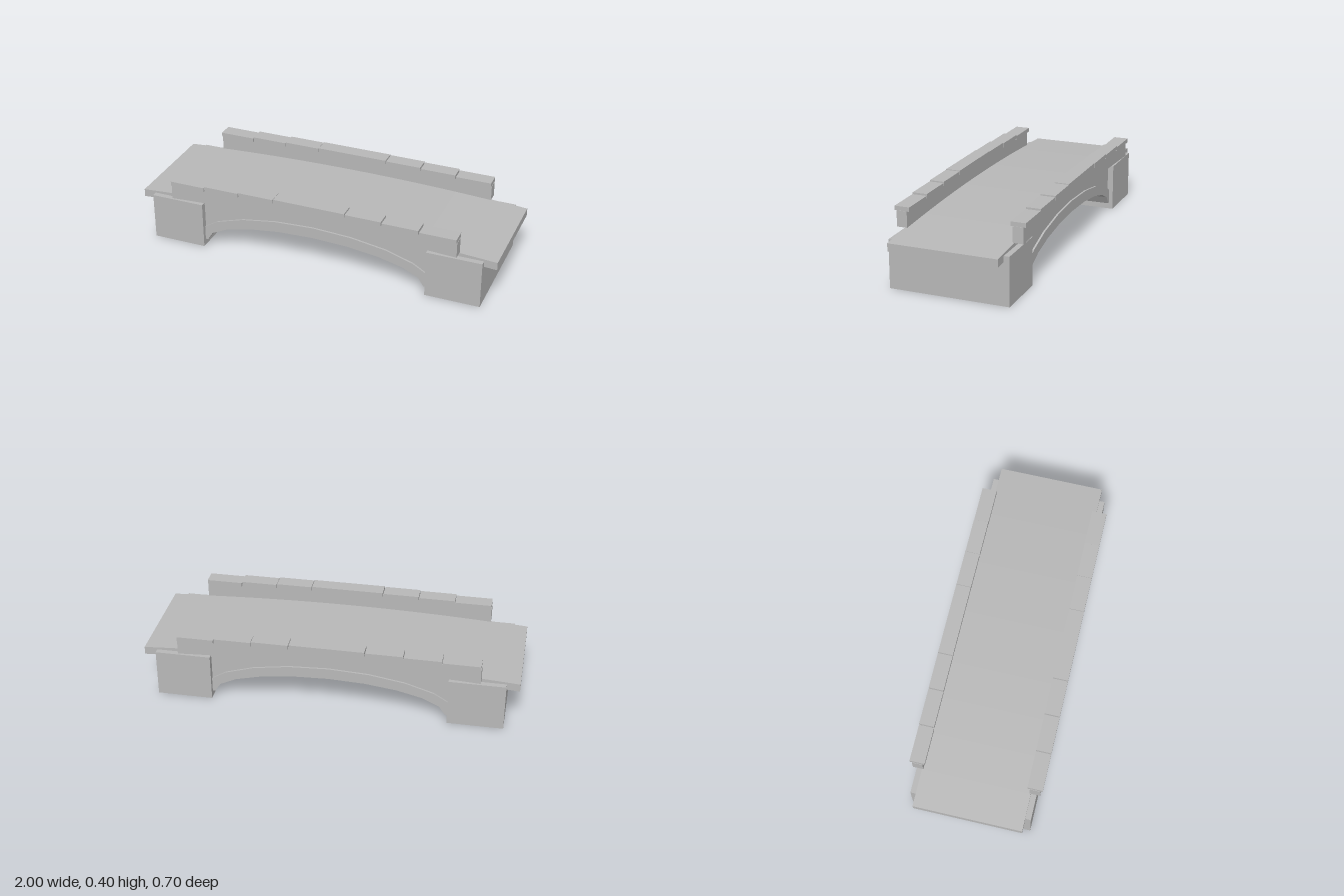
import * as THREE from 'three';

const stone = new THREE.MeshStandardMaterial({ color: 0xb8b8b8 });
stone.name = 'stone';

// Gentle camber shared by deck and parapets
const camber = (x, crown) => crown - 0.035 * x * x;

function curve(halfLength, crown, steps = 20) {
  return Array.from({ length: steps + 1 }, (_, i) => {
    const x = -halfLength + (2 * halfLength * i) / steps;
    return new THREE.Vector2(x, camber(x, crown));
  });
}

// Half-ellipse from right springing to left springing
function arch(a, b, steps = 10) {
  return Array.from({ length: steps + 1 }, (_, i) => {
    const t = (Math.PI * i) / steps;
    return new THREE.Vector2(a * Math.cos(t), 0.035 + b * Math.sin(t));
  });
}

// Profile in x-y extruded between two z values
function slab(name, points, z0, z1) {
  const geometry = new THREE.ExtrudeGeometry(new THREE.Shape(points), {
    depth: z1 - z0, bevelEnabled: false,
  });
  geometry.translate(0, 0, z0);
  const mesh = new THREE.Mesh(geometry, stone);
  mesh.name = name;
  return mesh;
}

function box(name, w, h, d, x, y, z) {
  const mesh = new THREE.Mesh(new THREE.BoxGeometry(w, h, d), stone);
  mesh.name = name;
  mesh.position.set(x, y, z);
  return mesh;
}

export function createModel() {
  const bridge = new THREE.Group();
  bridge.name = 'archBridge';

  // Cambered roadway
  bridge.add(slab('deck', [...curve(1, 0.3), ...curve(1, 0.257).reverse()], -0.29, 0.29));

  // Arch ring, slightly proud of the wall above it
  const soffit = arch(0.62, 0.15);
  const extrados = arch(0.69, 0.21);
  bridge.add(slab('archRing', [...soffit, ...extrados.slice().reverse()], -0.298, 0.298));

  // Solid wall filling between ring and deck
  bridge.add(slab('spandrel', [...curve(0.69, 0.298), ...arch(0.69, 0.2)], -0.288, 0.288));

  // End blocks
  for (const s of [1, -1]) {
    bridge.add(box(s > 0 ? 'leftAbutment' : 'rightAbutment', 0.297, 0.258, 0.64, s * 0.782, 0.129, 0));
  }

  // Parapet walls with stepped coping stones
  const joints = [-0.8, -0.6, -0.4, -0.2, 0.2, 0.4, 0.6, 0.8];
  for (const s of [1, -1]) {
    const parapet = new THREE.Group();
    parapet.name = s > 0 ? 'frontParapet' : 'backParapet';
    const z0 = s > 0 ? 0.283 : -0.339;
    parapet.add(slab('parapetWall', [...curve(0.8, 0.385), ...curve(0.8, 0.3).reverse()], z0, z0 + 0.056));
    for (let i = 0; i < joints.length - 1; i++) {
      const x = (joints[i] + joints[i + 1]) / 2;
      const width = joints[i + 1] - joints[i] - 0.004;
      parapet.add(box('copingStone', width, 0.023, 0.08, x, camber(x, 0.391), s * 0.31));
    }
    bridge.add(parapet);
  }
  return bridge;
}
